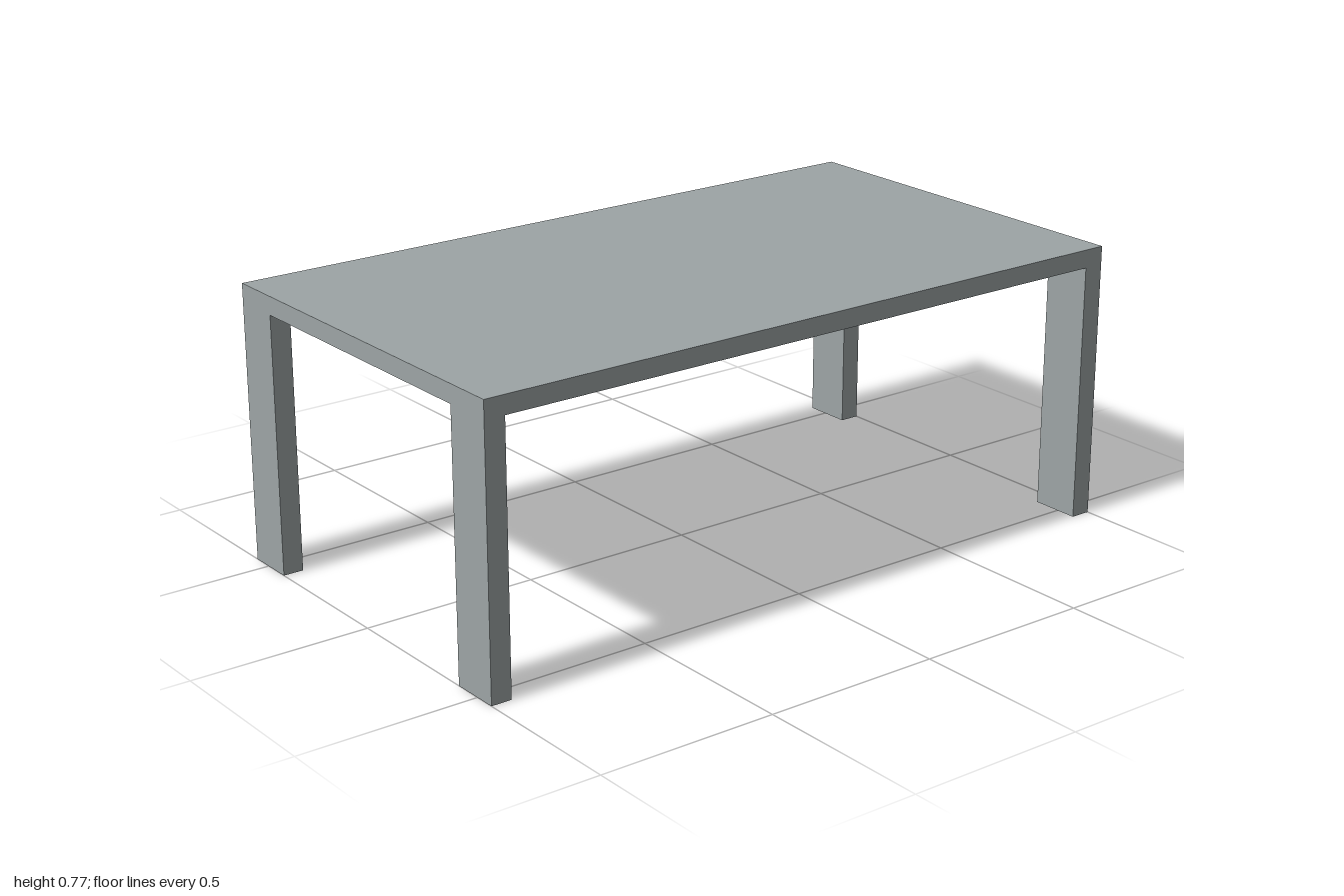
import * as THREE from 'three';

const WIDTH = 2, DEPTH = 1.12, HEIGHT = 0.773;
const TOP_THICKNESS = 0.051;
const LEG_WIDTH = 0.058, LEG_DEPTH = 0.14;

export function createModel() {
  const table = new THREE.Group();
  table.name = 'table';

  const grey = new THREE.MeshStandardMaterial({ color: 0x9da5a6 });
  grey.name = 'grey';

  function addBox(name, w, h, d, x, y, z) {
    const mesh = new THREE.Mesh(new THREE.BoxGeometry(w, h, d), grey);
    mesh.name = name;
    mesh.position.set(x, y, z);
    table.add(mesh);
  }

  // Flat slab top
  addBox('tableTop', WIDTH, TOP_THICKNESS, DEPTH, 0, HEIGHT - TOP_THICKNESS / 2, 0);

  // Four flat legs, flush with the corners of the top
  const legHeight = HEIGHT - TOP_THICKNESS;
  for (const [side, sx] of [['Left', 1], ['Right', -1]]) {
    for (const [end, sz] of [['front', 1], ['back', -1]]) {
      addBox(`${end}${side}Leg`, LEG_WIDTH, legHeight, LEG_DEPTH,
        sx * (WIDTH - LEG_WIDTH) / 2, legHeight / 2, sz * (DEPTH - LEG_DEPTH) / 2);
    }
  }

  return table;
}
